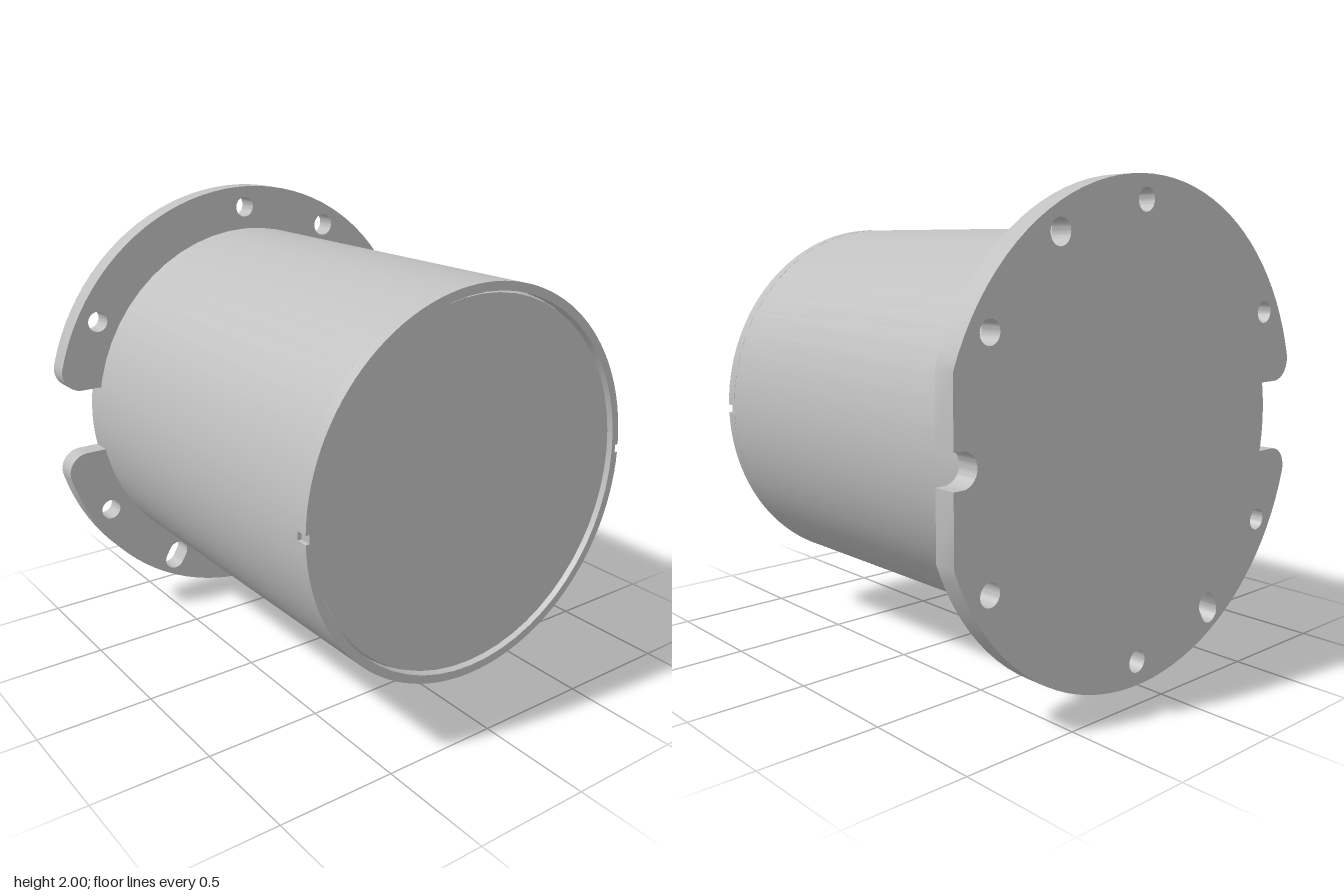
import * as THREE from 'three';
import { toCreasedNormals } from 'three/addons/utils/BufferGeometryUtils.js';

export function createModel() {
  const model = new THREE.Group();
  const grey = new THREE.MeshStandardMaterial({ color: 0xc0c0c0 });
  grey.name = 'metal grey';
  const PI = Math.PI;

  // Shapes are drawn around the cylinder axis, which sits at (0.007, 1)
  function add(name, geometry, z) {
    const mesh = new THREE.Mesh(geometry, grey);
    mesh.name = name;
    mesh.position.set(0.007, 1, z);
    model.add(mesh);
  }
  function extrude(shape, depth, curveSegments) {
    const geo = new THREE.ExtrudeGeometry(shape, { depth, bevelEnabled: false, curveSegments });
    return toCreasedNormals(geo, 0.4);
  }
  function drum(rFront, rBack, depth) {
    return new THREE.CylinderGeometry(rFront, rBack, depth, 56).rotateX(PI / 2);
  }

  // Mounting flange: flat right edge with a slot, wide rounded notch on the left
  const flat = Math.acos(0.943), lobe = Math.atan2(0.24, 0.878), gap = Math.asin(0.15 / 0.8);
  const flange = new THREE.Shape();
  flange.moveTo(0.943, Math.sin(flat));
  flange.absarc(0, 0, 1, flat, PI - lobe, false);
  flange.absarc(-0.878, 0.24, 0.09, PI - lobe, 1.5 * PI, false);
  flange.absarc(0, 0, 0.8, PI - gap, PI + gap, false);
  flange.absarc(-0.878, -0.24, 0.09, PI / 2, PI + lobe, false);
  flange.absarc(0, 0, 1, PI + lobe, 2 * PI - flat, false);
  flange.lineTo(0.943, -0.066);
  flange.absarc(0.905, 0, 0.066, 1.5 * PI, PI / 2, true);
  flange.lineTo(0.943, 0.066);
  flange.closePath();

  // Round bolt holes
  const holes = [
    [0, 0.905, 0.046], [0, -0.9, 0.046], [0.453, 0.784, 0.051],
    [0.782, 0.453, 0.046], [0.782, -0.453, 0.046],
    [-0.782, 0.453, 0.046], [-0.782, -0.453, 0.046],
  ];
  for (const [x, y, r] of holes) {
    flange.holes.push(new THREE.Path().absarc(x, y, r, 0, 2 * PI, false));
  }
  // Slanted elongated hole
  const tilt = Math.atan2(0.034, 0.02);
  const slot = new THREE.Path();
  slot.absarc(-0.442, -0.764, 0.05, tilt - PI / 2, tilt + PI / 2, false);
  slot.absarc(-0.462, -0.798, 0.05, tilt + PI / 2, tilt + 1.5 * PI, false);
  slot.closePath();
  flange.holes.push(slot);
  add('flange', extrude(flange, 0.095, 20), -0.88);

  // Main cylinder, closed at the back by the flange
  add('body', drum(0.803, 0.803, 1.7), -0.02);

  // Front rim with a small notch on each side
  const rim = new THREE.Shape();
  const a = 0.022;
  rim.absarc(0, 0, 0.803, a, PI - a, false);
  rim.absarc(0, 0, 0.787, PI - a, PI + a, false);
  rim.absarc(0, 0, 0.803, PI + a, 2 * PI - a, false);
  rim.absarc(0, 0, 0.787, -a, a, false);
  rim.closePath();
  rim.holes.push(new THREE.Path().absarc(0, 0, 0.768, 0, 2 * PI, false));
  add('frontRim', extrude(rim, 0.05, 28), 0.83);

  // Slightly sunken front plate
  add('frontPlate', drum(0.758, 0.768, 0.03), 0.845);

  return model;
}
